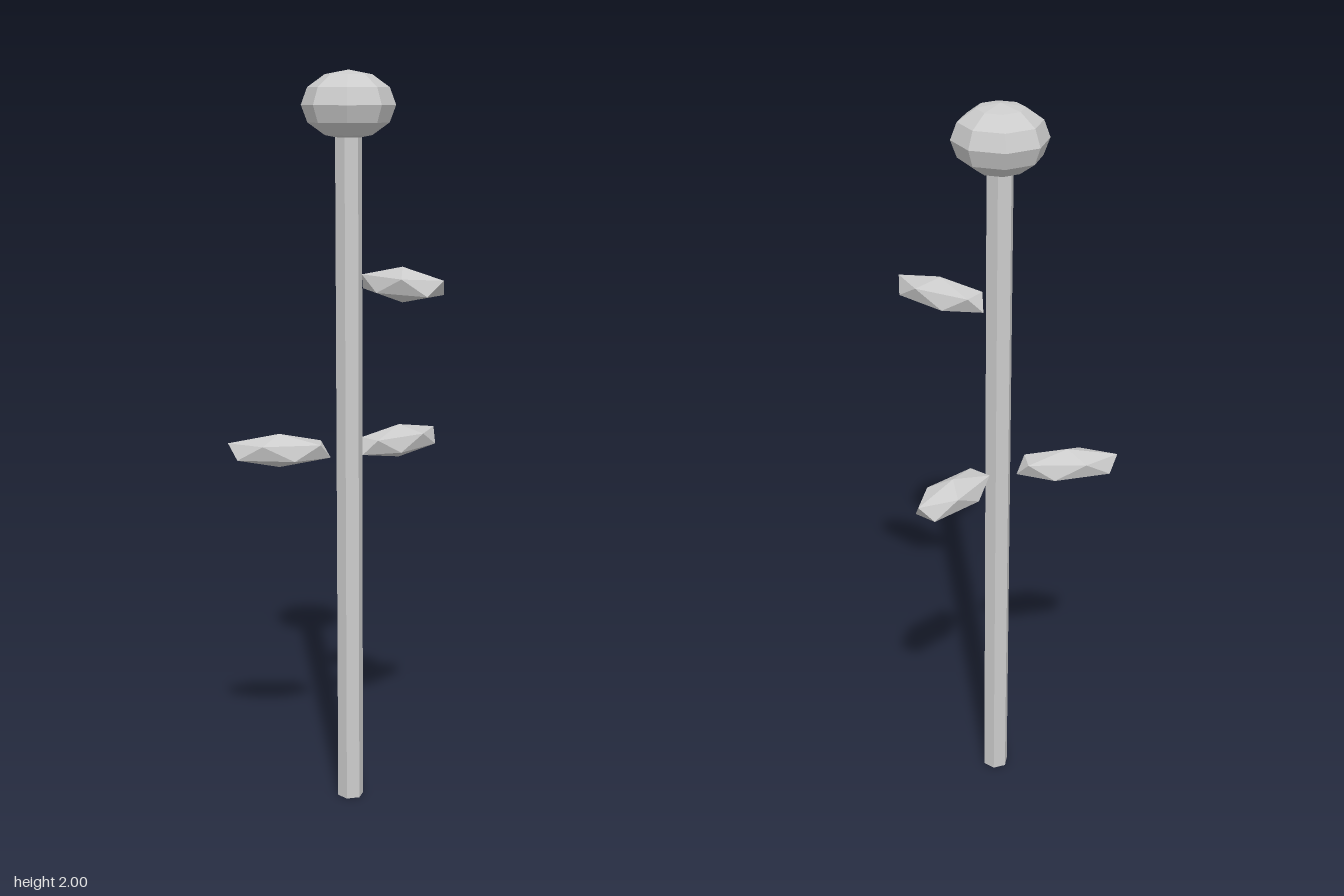
import * as THREE from 'three';

const STEM_X = -0.044, STEM_Z = -0.05;

export function createModel() {
  const model = new THREE.Group();
  const material = new THREE.MeshStandardMaterial({ color: 0xcccccc, flatShading: true });

  const add = (name, geometry, x, y, z) => {
    const mesh = new THREE.Mesh(geometry, material);
    mesh.name = name;
    mesh.position.set(x, y, z);
    model.add(mesh);
    return mesh;
  };

  // Six-sided stem, running up into the flower head
  add('stem', new THREE.CylinderGeometry(0.036, 0.036, 1.85, 6), STEM_X, 0.925, STEM_Z);

  // Flattened low-poly flower head
  const head = new THREE.SphereGeometry(0.1235, 8, 6).scale(1, 0.089 / 0.1235, 1);
  add('flowerHead', head, STEM_X, 1.911, STEM_Z);

  // Leaf: icosahedron stood on a corner, stretched along z with its raised tip at +z
  const leaf = new THREE.IcosahedronGeometry(1, 0)
    .rotateX(-Math.atan((1 + Math.sqrt(5)) / 2))
    .scale(0.062, 0.046, 0.155);

  // Each leaf: name, centre, heading about the vertical
  const leaves = [
    ['leafLeft', 0.144, 0.996, -0.05, Math.PI / 2],
    ['leafBack', -0.181, 0.996, -0.181, Math.atan2(-0.1, -0.092)],
    ['leafFront', -0.03, 1.46, 0.136, 0.064],
  ];
  for (const [name, x, y, z, heading] of leaves) {
    add(name, leaf, x, y, z).rotation.y = heading;
  }

  return model;
}
